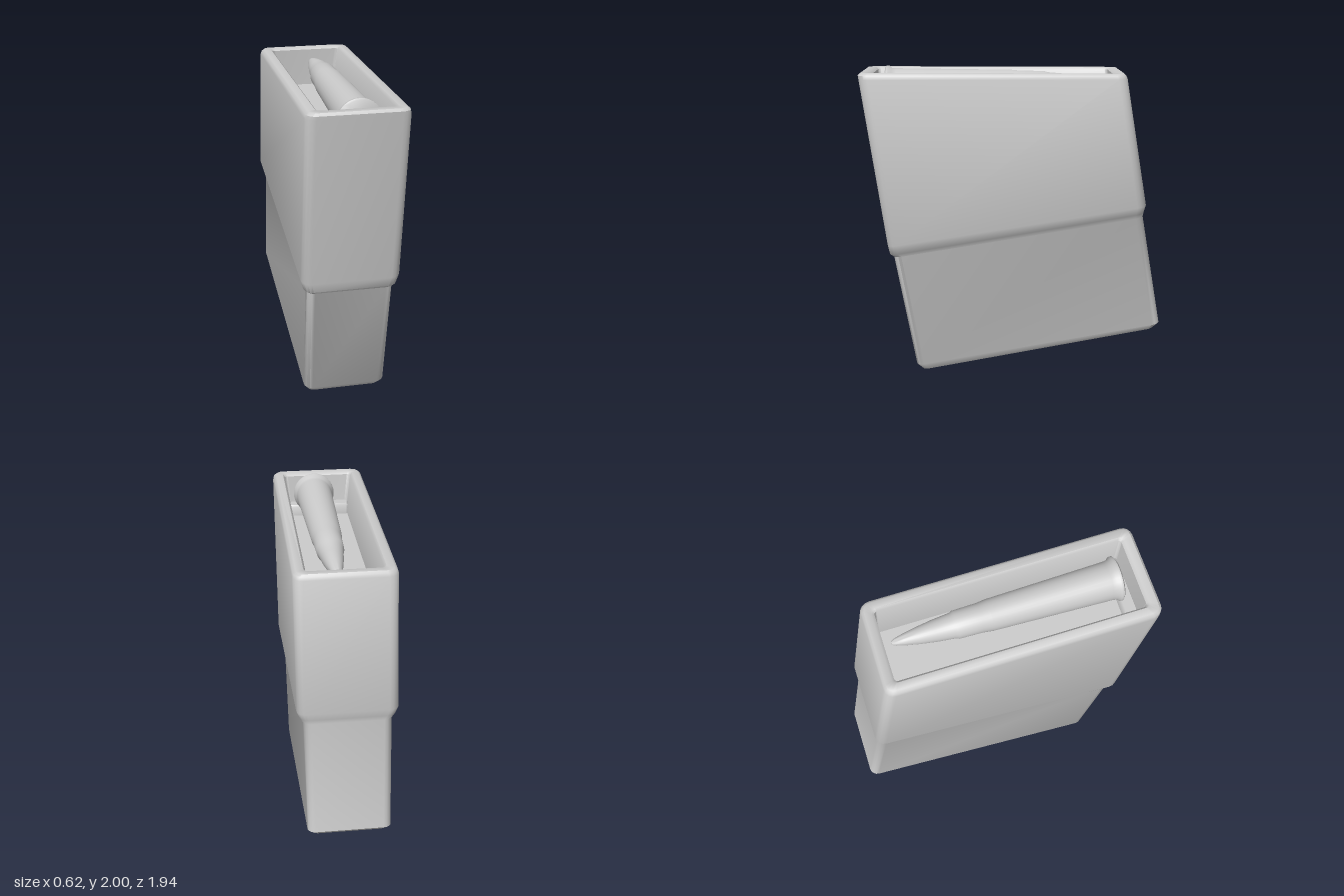
import * as THREE from 'three';
import { toCreasedNormals } from 'three/addons/utils/BufferGeometryUtils.js';

const CORNER_STEPS = 4;

// Slanted rounded-rectangle ring: front z/y, back z/y, half width, corner radius.
function ring([zf, yf, zb, yb, hw, r]) {
  const pts = [];
  const corners = [[hw - r, zf - r], [r - hw, zf - r], [r - hw, zb + r], [hw - r, zb + r]];
  corners.forEach(([cx, cz], q) => {
    for (let i = 0; i <= CORNER_STEPS; i++) {
      const a = (q + i / CORNER_STEPS) * Math.PI / 2;
      const z = cz + r * Math.sin(a);
      const t = (zf - z) / (zf - zb);
      pts.push([cx + r * Math.cos(a), yf + (yb - yf) * t, z]);
    }
  });
  return pts;
}

// Skin a stack of rings and close both ends.
function loft(specs) {
  const pos = [], idx = [];
  const n = 4 * (CORNER_STEPS + 1);
  specs.forEach(s => ring(s).forEach(p => pos.push(...p)));
  for (let k = 0; k < specs.length - 1; k++) {
    for (let j = 0; j < n; j++) {
      const a = k * n + j, c = k * n + (j + 1) % n;
      idx.push(a, a + n, c, c, a + n, c + n);
    }
  }
  [0, specs.length - 1].forEach((k, end) => {
    const [zf, yf, zb, yb] = specs[k];
    const centre = pos.length / 3;
    pos.push(0, (yf + yb) / 2, (zf + zb) / 2);
    for (let j = 0; j < n; j++) {
      const a = k * n + j, b = k * n + (j + 1) % n;
      if (end) idx.push(centre, b, a);
      else idx.push(centre, a, b);
    }
  });
  const g = new THREE.BufferGeometry();
  g.setAttribute('position', new THREE.Float32BufferAttribute(pos, 3));
  g.setIndex(idx);
  return toCreasedNormals(g, 0.75);
}

export function createModel() {
  const group = new THREE.Group();
  const material = new THREE.MeshStandardMaterial({ color: 0xcccccc });
  const add = (name, geometry) => {
    const mesh = new THREE.Mesh(geometry, material);
    mesh.name = name;
    group.add(mesh);
    return mesh;
  };

  // Stepped, raked casing, running over the rim and down into the cavity
  add('casing', loft([
    [0.60, 0.00, -0.93, 0.28, 0.235, 0.04],
    [0.64, 0.04, -0.968, 0.32, 0.262, 0.05],
    [0.775, 0.78, -0.842, 1.04, 0.27, 0.05],
    [0.80, 0.80, -0.845, 1.07, 0.29, 0.055],
    [0.812, 0.86, -0.857, 1.12, 0.308, 0.06],
    [0.968, 1.93, -0.72, 1.93, 0.308, 0.06],
    [0.972, 1.955, -0.712, 1.95, 0.302, 0.06],
    [0.957, 1.97, -0.70, 1.963, 0.285, 0.05],
    [0.91, 1.97, -0.66, 1.963, 0.24, 0.03],
    [0.893, 1.955, -0.643, 1.95, 0.227, 0.02],
    [0.87, 1.70, -0.66, 1.70, 0.20, 0.02],
  ]));

  // Raised ledge inside the front of the cavity
  add('innerLedge', loft([
    [0.885, 1.69, 0.80, 1.69, 0.21, 0.02],
    [0.885, 1.76, 0.80, 1.76, 0.21, 0.02],
    [0.875, 1.775, 0.81, 1.775, 0.20, 0.02],
  ]));

  // Turned round: [radius, distance from base]
  const profile = [
    [0, 0], [0.128, 0], [0.138, 0.008], [0.138, 0.022], [0.122, 0.04],
    [0.119, 0.07], [0.097, 0.81], [0.09, 0.87], [0.086, 1.02], [0.078, 1.04],
    [0.067, 1.15], [0.052, 1.25], [0.035, 1.34], [0.022, 1.39], [0.01, 1.412], [0, 1.415],
  ].map(([r, y]) => new THREE.Vector2(r, y));
  const round = add('round', toCreasedNormals(new THREE.LatheGeometry(profile, 32), 0.75));
  round.rotation.x = -Math.PI / 2 + 0.015;
  round.position.set(0.035, 1.862, 0.815);

  return group;
}
